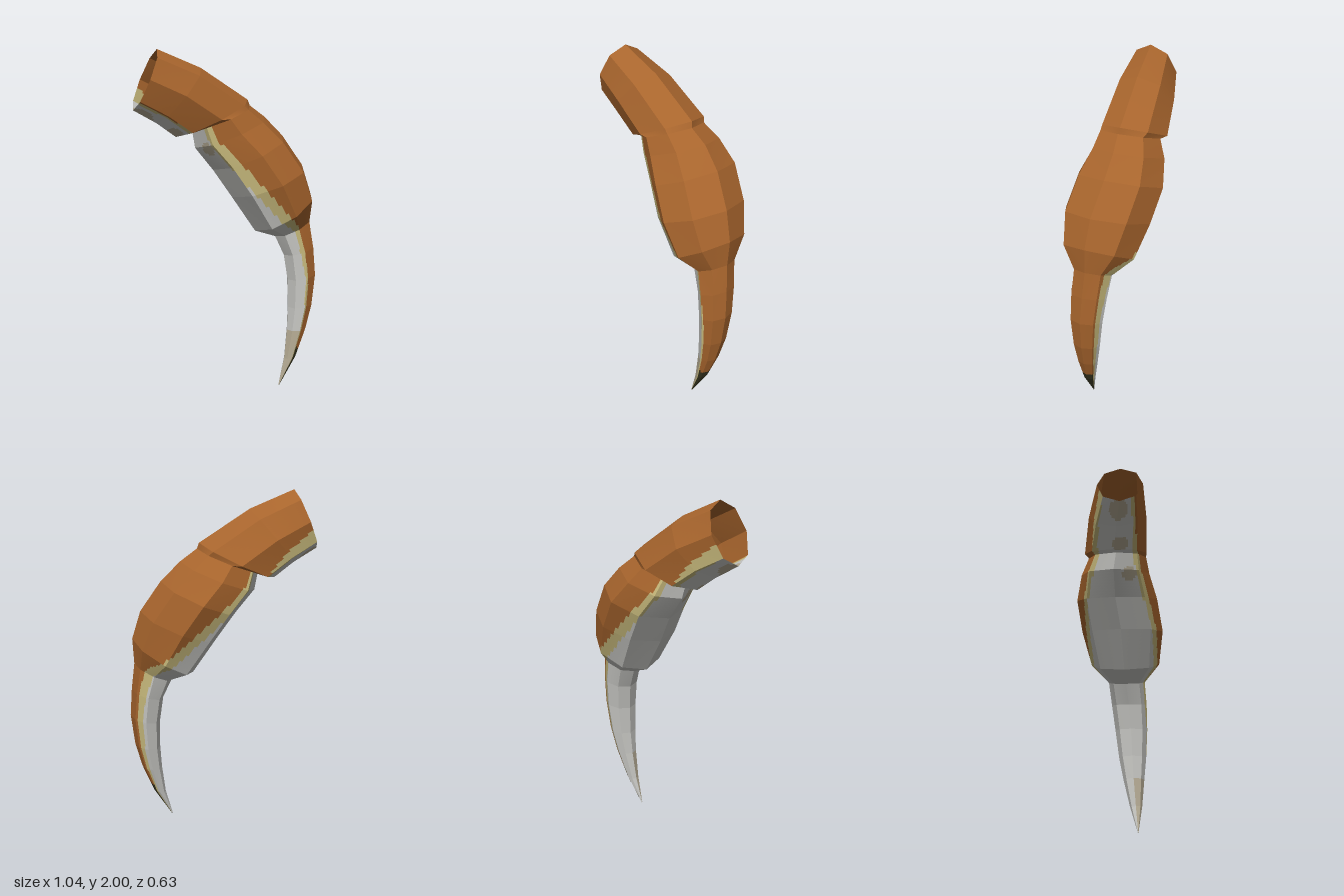
import * as THREE from 'three';

const paint = (name, color) => {
  const m = new THREE.MeshStandardMaterial({ color, flatShading: true, side: THREE.DoubleSide });
  m.name = name;
  return m;
};
const materials = [
  paint('brown shell', 0xa8652d),
  paint('cream edge', 0xc8ba7c),
  paint('pale belly', 0xc8c8c4),
  paint('dark tip', 0x35331f),
  paint('beige horn', 0xb5ab94),
];

// The tail bends in a plane turned slightly about y; SIDE is its sideways axis.
const SIDE = new THREE.Vector3(0.35, 0, 0.94);
const CORNERS = 8, SPLIT = 10, ROWS = 10;

// Ring: outer x, y, inner x, y, centre z, half width,
// then shell edge angle and cream width at the front, and the same at the back
const tubeRings = [
  [-0.38, 2.0, -0.51, 1.67, 0.19, 0.133, 138, 12, 108, 28],
  [-0.15, 1.9, -0.39, 1.595, 0.1, 0.17, 138, 7, 121, 20],
  [0.112, 1.72, -0.29, 1.515, 0.01, 0.187, 136, 7, 135, 12],
  [0.125, 1.687, -0.2, 1.55, 0.0, 0.175, 128, 16, 131, 14],
];
const bulbRings = [
  tubeRings[3],
  [0.21, 1.62, -0.185, 1.45, -0.035, 0.208, 124, 17, 128, 15],
  [0.315, 1.51, -0.085, 1.32, -0.068, 0.248, 121, 17, 122, 15],
  [0.435, 1.335, 0.025, 1.16, -0.08, 0.25, 113, 17, 108, 16],
  [0.487, 1.17, 0.16, 0.955, -0.1, 0.21, 98, 17, 84, 20],
  [0.482, 1.02, 0.28, 0.915, -0.115, 0.112, 88, 17, 58, 28],
];
const stingRings = [
  bulbRings[5],
  [0.505, 0.86, 0.333, 0.8, -0.115, 0.108, 90, 16, 54, 26],
  [0.52, 0.69, 0.357, 0.65, -0.11, 0.098, 84, 12, 56, 20],
  [0.502, 0.5, 0.362, 0.48, -0.1, 0.082, 80, 12, 56, 18],
  [0.468, 0.35, 0.357, 0.34, -0.085, 0.062, 80, 12, 56, 16],
  [0.41, 0.18, 0.342, 0.165, -0.058, 0.036, 80, 12, 58, 14],
  [0.312, 0, 0.308, 0.005, -0.02, 0.002, 80, 12, 58, 14],
];

// Beige blotches on the belly: centre and radius
const blotches = [
  [new THREE.Vector3(-0.465, 1.64, 0.19), 0.062],
  [new THREE.Vector3(-0.29, 1.53, 0.13), 0.05],
  [new THREE.Vector3(-0.1, 1.45, 0.1), 0.045],
];

// Corner k of an eight-sided ring
function corner(ring, k) {
  const [ox, oy, ix, iy, cz, w] = ring;
  const a = (k / CORNERS) * Math.PI * 2;
  const hx = (ox - ix) / 2, hy = (oy - iy) / 2;
  return new THREE.Vector3((ox + ix) / 2, (oy + iy) / 2, cz)
    .addScaledVector(new THREE.Vector3(hx, hy, -0.37 * hx), Math.cos(a))
    .addScaledVector(SIDE, w * Math.sin(a));
}

// Point on the flat panels between two rings
function panelPoint(r0, r1, s, v) {
  const k = Math.floor(s / SPLIT), f = s / SPLIT - k;
  const edge = (r) => corner(r, k).lerp(corner(r, k + 1), f);
  return edge(r0).lerp(edge(r1), v);
}

// Colour index from the angle round the ring: 0 is the outer ridge, 180 the belly
function colourAt(r0, r1, s, v, point) {
  const turn = (s / (CORNERS * SPLIT)) * 360;
  const front = turn < 180;
  const angle = front ? turn : 360 - turn;
  const col = front ? 6 : 8;
  const limit = THREE.MathUtils.lerp(r0[col], r1[col], v);
  const cream = THREE.MathUtils.lerp(r0[col + 1], r1[col + 1], v);
  if (angle < limit) return point.y < 0.235 ? 3 : 0;
  if (angle < limit + cream) return 1;
  if (front && point.y < 0.34) return 4;
  return blotches.some(([centre, r]) => centre.distanceTo(point) < r) ? 4 : 2;
}

function loft(name, rings) {
  const buckets = materials.map(() => []);
  for (let i = 0; i < rings.length - 1; i++) {
    const r0 = rings[i], r1 = rings[i + 1];
    for (let j = 0; j < ROWS; j++) {
      for (let s = 0; s < CORNERS * SPLIT; s++) {
        const v0 = j / ROWS, v1 = (j + 1) / ROWS;
        const a = panelPoint(r0, r1, s, v0), b = panelPoint(r0, r1, s + 1, v0);
        const c = panelPoint(r0, r1, s + 1, v1), d = panelPoint(r0, r1, s, v1);
        const middle = a.clone().lerp(c, 0.5);
        const colour = colourAt(r0, r1, s + 0.5, (v0 + v1) / 2, middle);
        for (const p of [a, b, c, a, c, d]) buckets[colour].push(p.x, p.y, p.z);
      }
    }
  }
  const geometry = new THREE.BufferGeometry();
  let start = 0;
  buckets.forEach((bucket, m) => {
    if (bucket.length) geometry.addGroup(start, bucket.length / 3, m);
    start += bucket.length / 3;
  });
  geometry.setAttribute('position', new THREE.Float32BufferAttribute(buckets.flat(), 3));
  geometry.computeVertexNormals();
  const mesh = new THREE.Mesh(geometry, materials);
  mesh.name = name;
  return mesh;
}

export function createModel() {
  const group = new THREE.Group();
  group.name = 'stingerTail';
  group.add(
    loft('openTailSegment', tubeRings),
    loft('venomBulb', bulbRings),
    loft('curvedSting', stingRings),
  );
  return group;
}
